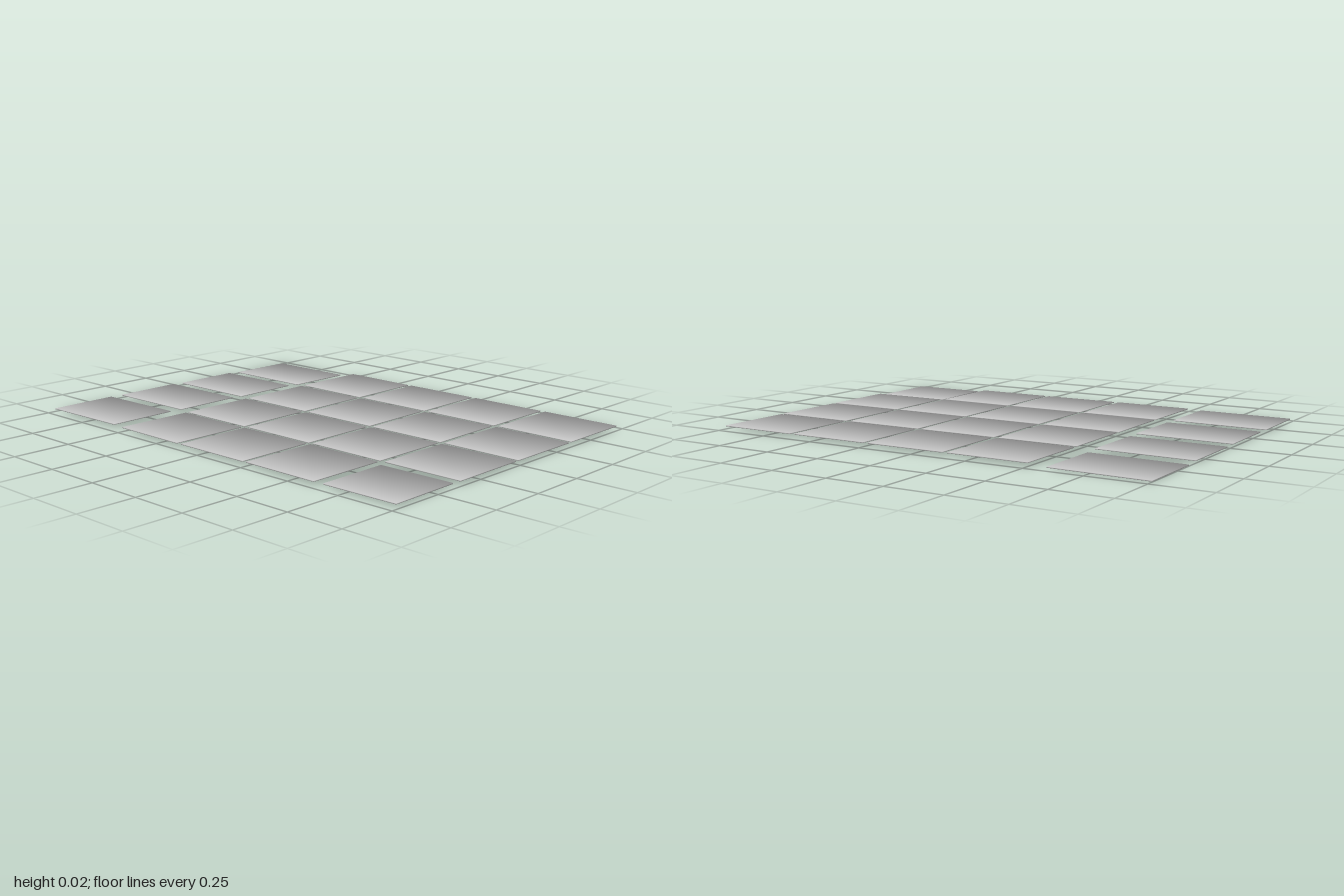
import * as THREE from 'three';

const material = new THREE.MeshStandardMaterial({ color: 0xcccccc });
const THICK = 0.004;

// Thin slab whose shading is smoothed around its eight corners
function slab(width, depth) {
  const geometry = new THREE.BoxGeometry(width, THICK, depth);
  const { position, normal } = geometry.attributes;
  const v = new THREE.Vector3();
  for (let i = 0; i < position.count; i++) {
    v.fromBufferAttribute(position, i);
    v.set(Math.sign(v.x), Math.sign(v.y), Math.sign(v.z)).normalize();
    normal.setXYZ(i, v.x, v.y, v.z);
  }
  return geometry;
}

function addTile(group, name, { x, y, z, w, d, yaw = 0, pitch = 0, roll = 0 }) {
  const tile = new THREE.Mesh(slab(w, d), material);
  tile.name = name;
  tile.position.set(x, y, z);
  tile.rotation.set(pitch, yaw, roll);
  group.add(tile);
}

export function createModel() {
  const model = new THREE.Group();
  model.name = 'tileField';

  // Four rows of square tiles, each laid very slightly askew
  const columns = [-0.55, -0.186, 0.179, 0.545];
  const rows = [-0.327, 0.053, 0.431, 0.811];
  const yaws = [
    [-0.008, 0.006, 0.006, -0.008],
    [0.004, -0.004, 0.006, 0.004],
    [-0.008, -0.005, 0.005, -0.003],
    [0.012, 0.003, -0.006, -0.004],
  ];
  rows.forEach((z, r) => columns.forEach((x, c) => {
    // The front right corner tile is smaller and sits lower
    const small = r === 3 && c === 0;
    addTile(model, small ? 'cornerTile' : 'squareTile', {
      x, z, y: small ? 0.013 : 0.018,
      w: small ? 0.321 : 0.347, d: small ? 0.34 : 0.357,
      yaw: yaws[r][c],
    });
  }));

  // Back row: longer, narrower tiles that step down towards the left
  const backRow = [
    { x: -0.557, y: 0.016, yaw: 0.01, pitch: -0.005 },
    { x: -0.187, y: 0.015, yaw: 0.004, pitch: -0.004 },
    { x: 0.179, y: 0.012, yaw: -0.002, pitch: -0.004 },
    { x: 0.552, y: 0.006, yaw: -0.01, pitch: -0.005, roll: -0.006 },
  ];
  for (const tile of backRow) {
    addTile(model, 'backTile', { z: -0.788, w: 0.31, d: 0.421, ...tile });
  }
  return model;
}
